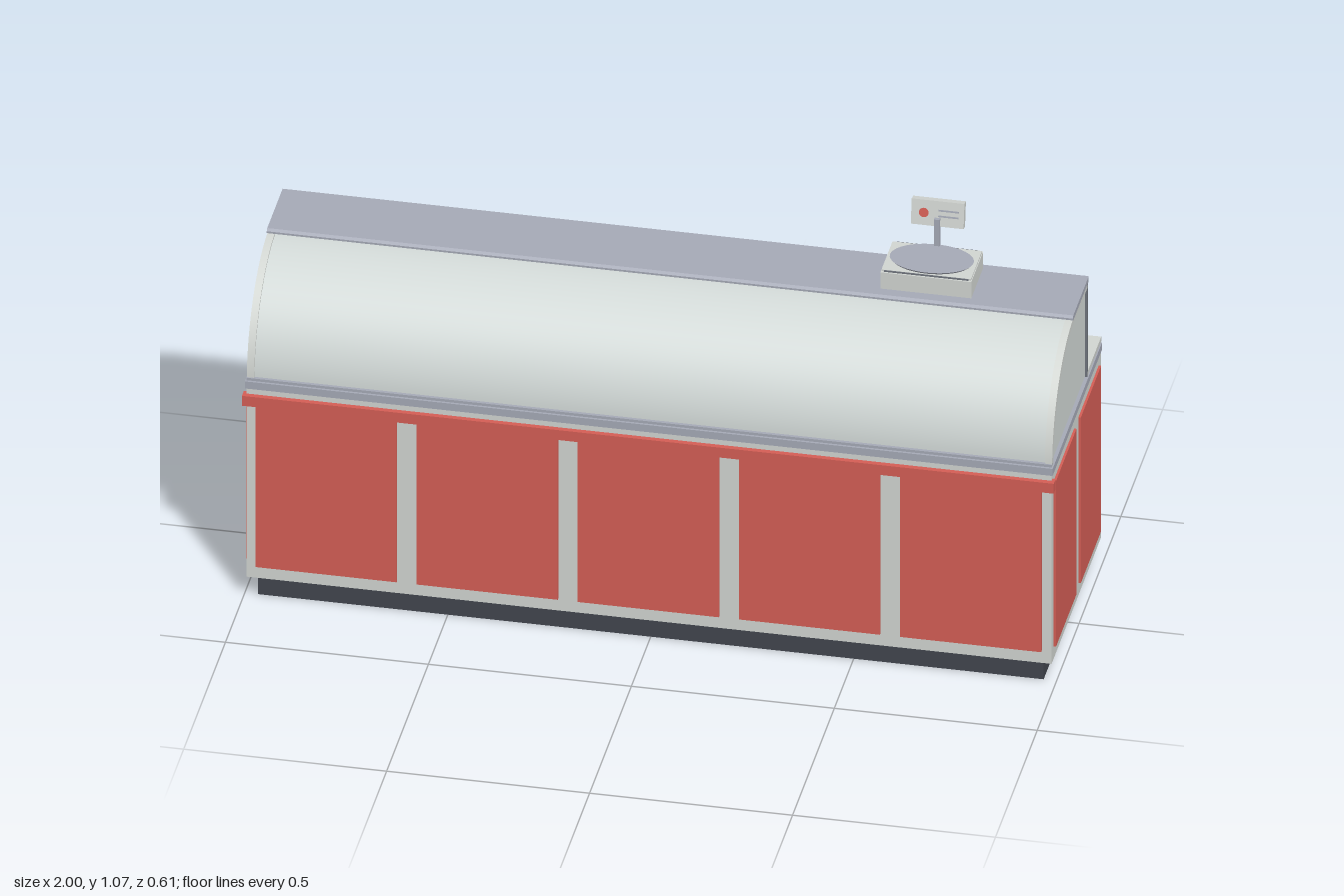
import * as THREE from 'three';
import { toCreasedNormals } from 'three/addons/utils/BufferGeometryUtils.js';

export function createModel() {
  const root = new THREE.Group();
  root.name = 'foodCounter';
  const mat = (name, color, side = THREE.FrontSide) => {
    const m = new THREE.MeshStandardMaterial({ color, side });
    m.name = name;
    return m;
  };
  const casing = mat('casing', 0xd3d7d3);
  const red = mat('redPanel', 0xd65f56);
  const slate = mat('slateTrim', 0xa7abb8);
  const dark = mat('darkPlinth', 0x42464f);
  const glass = mat('glass', 0xd3dad8, THREE.DoubleSide);
  const wood = mat('wood', 0xc99d70);
  const bread = mat('bread', 0xc8965a);
  const pink = mat('pinkIcing', 0xe0709c);
  const brown = mat('chocolate', 0x6b4630);
  const steel = mat('steel', 0x70757e);

  const add = (name, geo, material, x = 0, y = 0, z = 0, parent = root) => {
    const m = new THREE.Mesh(geo, material);
    m.name = name;
    m.position.set(x, y, z);
    parent.add(m);
    return m;
  };
  // Box given by its limits on each axis
  const block = (name, material, x0, x1, y0, y1, z0, z1, parent = root) =>
    add(name, new THREE.BoxGeometry(x1 - x0, y1 - y0, z1 - z0), material,
      (x0 + x1) / 2, (y0 + y1) / 2, (z0 + z1) / 2, parent);
  // Extrude a [z, y] outline along x
  const profile = (name, pts, material, x0, x1) => {
    const shape = new THREE.Shape(pts.map(([z, y]) => new THREE.Vector2(-z, y)));
    const geo = new THREE.ExtrudeGeometry(shape, { depth: x1 - x0, bevelEnabled: false });
    geo.rotateY(Math.PI / 2);
    return add(name, toCreasedNormals(geo, 0.5), material, x0);
  };
  let seed = 7;
  const rand = () => (seed = (seed * 16807) % 2147483647) / 2147483647;

  // Base cabinet
  block('plinth', dark, -0.968, 0.968, 0, 0.062, -0.278, 0.268);
  block('cabinet', casing, -0.992, 0.992, 0.06, 0.595, -0.3, 0.29);
  block('worktopBand', slate, -0.995, 0.995, 0.595, 0.615, -0.3, 0.292);
  for (let i = 0; i < 5; i++) {
    const x = (i - 2) * 0.397;
    block('frontPanel', red, x - 0.174, x + 0.174, 0.095, 0.555, 0.285, 0.298);
  }
  for (const s of [-1, 1]) {
    for (const z of [0.143, -0.153]) {
      add('sidePanel', new THREE.BoxGeometry(0.01, 0.47, 0.244), red, s * 0.993, 0.33, z);
    }
  }
  block('bumper', red, -1, 1, 0.552, 0.58, 0.28, 0.303);

  // Rear serving ledge and cutting boards
  block('servingLedge', casing, -0.992, 0.992, 0.615, 0.628, -0.305, -0.138);
  for (const x of [-0.663, -0.003, 0.657]) {
    block('cuttingBoard', wood, x - 0.165, x + 0.165, 0.628, 0.645, -0.284, -0.172);
  }

  // Curved hood
  const arc = (r, cz = 0.015, n = 24) => Array.from({ length: n + 1 }, (_, i) => {
    const a = (i / n) * Math.PI / 2;
    return [cz + r * Math.cos(a), 0.615 + r * Math.sin(a)];
  });
  const ring = (r0, r1) => [...arc(r1), ...arc(r0).reverse()];
  profile('curvedGlass', ring(0.256, 0.263), glass, -0.976, 0.976);
  for (const s of [-1, 1]) {
    const x0 = s > 0 ? 0.974 : -0.992;
    profile('archFrame', ring(0.252, 0.268), casing, x0, x0 + 0.018);
    profile('endGlass', [[-0.138, 0.615], ...arc(0.255), [-0.138, 0.87]], glass,
      s * 0.982 - 0.004, s * 0.982 + 0.004);
    block('endTopFrame', casing, x0, x0 + 0.018, 0.867, 0.883, -0.14, 0.015);
    block('endPost', steel, x0, x0 + 0.018, 0.615, 0.88, -0.145, -0.137);
  }
  block('frontGlassSill', slate, -0.992, 0.992, 0.613, 0.622, 0.27, 0.286);
  for (const x of [-0.335, 0.335]) {
    block('rearPost', slate, x - 0.007, x + 0.007, 0.62, 0.882, -0.147, -0.134);
  }
  profile('topShelf', [[-0.15, 0.88], [0.034, 0.88], [0.041, 0.884], [0.041, 0.889],
    [0.034, 0.894], [-0.15, 0.894]], slate, -0.993, 0.993);

  // Weighing scale
  const scale = new THREE.Group();
  scale.name = 'weighingScale';
  scale.position.set(0.624, 0.894, -0.065);
  root.add(scale);
  block('scaleBase', casing, -0.112, 0.112, 0, 0.046, -0.071, 0.072, scale);
  block('scaleRim', steel, -0.104, 0.104, 0.046, 0.05, -0.068, 0.068, scale);
  block('scaleTop', casing, -0.11, 0.11, 0.044, 0.0505, -0.066, 0.066, scale);
  const pan = add('scalePan', new THREE.CylinderGeometry(1, 0.94, 0.006, 40), slate, 0, 0.0525, 0, scale);
  pan.scale.set(0.103, 1, 0.066);
  block('displayPole', slate, -0.007, 0.007, 0, 0.13, -0.069, -0.058, scale);
  const display = new THREE.Group();
  display.name = 'display';
  display.position.set(0, 0.139, -0.078);
  display.rotation.x = -0.16;
  scale.add(display);
  block('displayCase', casing, -0.065, 0.065, -0.033, 0.033, -0.009, 0.009, display);
  const lamp = add('displayLamp', new THREE.CylinderGeometry(0.012, 0.012, 0.002, 16), red, -0.034, 0, 0.01, display);
  lamp.rotation.x = Math.PI / 2;
  for (const y of [0.009, -0.006]) block('displayLine', slate, 0.002, 0.052, y - 0.002, y + 0.002, 0.009, 0.0105, display);

  // Food makers, each filling a tray centred on its own origin
  const ball = new THREE.SphereGeometry(1, 16, 10);
  const blob = (g, name, m, x, y, z, sx, sy, sz) => {
    const b = add(name, ball, m, x, y, z, g);
    b.scale.set(sx, sy, sz);
    return b;
  };
  const crumbs = (base, tints) => g => {
    block('tubFilling', base, -0.13, 0.13, 0.004, 0.018, -0.058, 0.058, g);
    for (let i = 0; i < 28; i++) {
      blob(g, 'topping', tints[i % tints.length], (rand() - 0.5) * 0.24, 0.02, (rand() - 0.5) * 0.1, 0.007, 0.005, 0.007);
    }
  };
  const donuts = g => {
    for (let i = 0; i < 8; i++) {
      const d = add('donut', new THREE.TorusGeometry(0.016, 0.009, 8, 18), pink,
        (i % 4 - 1.5) * 0.062, 0.015, i < 4 ? -0.028 : 0.028, g);
      d.rotation.x = Math.PI / 2;
    }
  };
  const rods = (name, m, n, r) => g => {
    for (let i = 0; i < n; i++) {
      const c = add(name, new THREE.CapsuleGeometry(r, 0.2, 6, 14), m, 0, r + 0.006, (i - (n - 1) / 2) * r * 2.05, g);
      c.rotation.z = Math.PI / 2;
    }
  };
  const loaves = g => {
    for (let i = 0; i < 4; i++) blob(g, 'roundLoaf', bread, (i - 1.5) * 0.064, 0.028, i % 2 ? 0.01 : -0.01, 0.031, 0.03, 0.045);
  };
  const rolls = g => {
    for (let i = 0; i < 8; i++) {
      const x = (i % 4 - 1.5) * 0.064, z = i < 4 ? -0.03 : 0.03;
      block('roll', bread, x - 0.026, x + 0.026, 0.004, 0.028, z - 0.024, z + 0.024, g);
      block('rollCut', brown, x - 0.02, x + 0.02, 0.028, 0.029, z - 0.003, z + 0.003, g);
    }
  };
  const ham = g => {
    const lathe = (t0, t1) => {
      const pts = [];
      for (let i = 0; i <= 6; i++) {
        const t = t0 + (t1 - t0) * i / 6;
        pts.push(new THREE.Vector2(Math.max(0.0001, 0.045 * Math.sqrt(Math.max(0, 1 - t * t))), 0.085 * t));
      }
      return new THREE.LatheGeometry(pts, 24);
    };
    const cuts = [-1, -0.55, -0.35, 0.0, 0.2, 0.55, 0.75, 1];
    for (let i = 0; i < 7; i++) {
      const h = add('ham', lathe(cuts[i], cuts[i + 1]), i % 2 ? casing : pink, 0, 0.045, 0, g);
      h.rotation.z = -Math.PI / 2;
    }
  };
  const cakes = g => {
    for (let i = 0; i < 4; i++) {
      const x = (i - 1.5) * 0.066;
      block('cake', wood, x - 0.028, x + 0.028, 0.004, 0.046, -0.05, 0.05, g);
      block('cakeTop', bread, x - 0.028, x + 0.028, 0.046, 0.051, -0.05, 0.05, g);
    }
  };

  // Two rows of trays on rails, the front row raised
  const rows = [
    { y: 0.652, z: -0.045, food: [donuts, rods('baguette', bread, 3, 0.019), loaves,
      crumbs(casing, [brown, steel]), crumbs(wood, [brown, bread]), crumbs(casing, [bread, brown])] },
    { y: 0.682, z: 0.11, food: [crumbs(casing, [brown, pink]), rolls, ham,
      rods('sausage', red, 3, 0.018), cakes, loaves] },
  ];
  for (const { y, z, food } of rows) {
    for (const dz of [-0.074, 0.074]) {
      block('trayRail', steel, -0.97, 0.97, y - 0.012, y + 0.012, z + dz - 0.004, z + dz + 0.004);
    }
    food.forEach((fill, i) => {
      const tray = new THREE.Group();
      tray.name = 'foodTray';
      tray.position.set((2.5 - i) * 0.318, y, z);
      root.add(tray);
      block('trayFloor', casing, -0.145, 0.145, -0.006, 0.004, -0.068, 0.068, tray);
      for (const s of [-1, 1]) {
        block('trayEnd', steel, s * 0.147 - 0.004, s * 0.147 + 0.004, -0.01, 0.02, -0.07, 0.07, tray);
        block('traySide', slate, -0.147, 0.147, -0.006, 0.016, s * 0.066 - 0.003, s * 0.066 + 0.003, tray);
      }
      fill(tray);
    });
  }
  return root;
}
